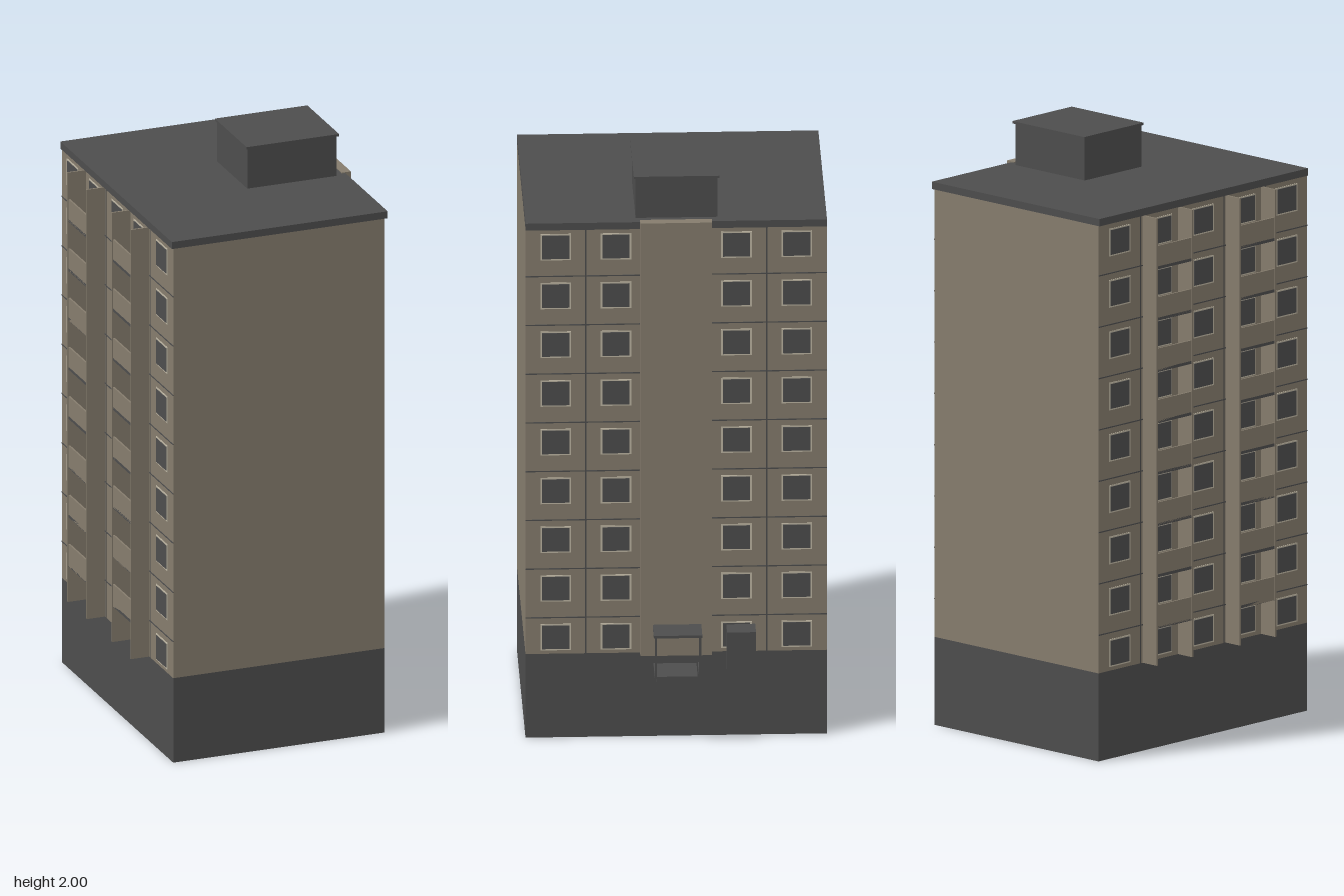
import * as THREE from 'three';

export function createModel() {
  const model = new THREE.Group();
  model.name = 'apartmentBlock';
  const paint = (name, color) => {
    const m = new THREE.MeshStandardMaterial({ color });
    m.name = name;
    return m;
  };
  const beige = paint('beige concrete', 0x857c6d);
  const dark = paint('dark grey', 0x4d4d4d);
  const pale = paint('pale window frame', 0xbdb5a2);

  // Box given by its extents on each axis
  function box(name, mat, [x0, x1], [y0, y1], [z0, z1], parent = model) {
    const mesh = new THREE.Mesh(new THREE.BoxGeometry(x1 - x0, y1 - y0, z1 - z0), mat);
    mesh.position.set((x0 + x1) / 2, (y0 + y1) / 2, (z0 + z1) / 2);
    mesh.name = name;
    parent.add(mesh);
    return mesh;
  }
  function group(name) {
    const g = new THREE.Group();
    g.name = name;
    model.add(g);
    return g;
  }

  const EAST = 0.343, WEST = -0.41, STOREY = 0.175, FLOORS = 9;

  // Main volumes
  box('plinth', dark, [WEST, EAST], [0, 0.3], [-0.5, 0.5]);
  box('tower', beige, [WEST, EAST], [0.3, 1.825], [-0.5, 0.5]);
  box('roofSlab', dark, [-0.415, 0.355], [1.825, 1.85], [-0.5, 0.5]);
  box('stairShaft', beige, [EAST, 0.375], [0.3, 1.853], [-0.118, 0.12]);
  box('roofHouse', dark, [0, 0.318], [1.85, 1.992], [-0.138, 0.134]);
  box('roofHouseCap', dark, [-0.005, 0.325], [1.992, 2], [-0.145, 0.14]);

  // Thin plate on a long facade; side is +1 (east) or -1 (west)
  function plate(name, mat, side, depth, y, z, parent) {
    const x = side > 0 ? [EAST, EAST + depth] : [WEST - depth, WEST];
    box(name, mat, x, y, z, parent);
  }

  // Windows in pale frames, one row per floor
  function windows(side, columns) {
    const g = group(side > 0 ? 'eastWindows' : 'westWindows');
    for (let i = 0; i < FLOORS; i++) {
      const y = 0.36 + i * STOREY;
      for (const z of columns) {
        plate('windowFrame', pale, side, 0.002, [y - 0.047, y + 0.047], [z - 0.051, z + 0.051], g);
        plate('windowPane', dark, side, 0.004, [y - 0.042, y + 0.042], [z - 0.045, z + 0.045], g);
      }
    }
  }
  windows(1, [-0.4, -0.2, 0.2, 0.4]);
  windows(-1, [-0.4, -0.2, 0, 0.2, 0.4]);

  // Panel joints
  function joints(side, spans, uprights) {
    const g = group(side > 0 ? 'eastJoints' : 'westJoints');
    for (const span of spans) {
      for (let i = 0; i < FLOORS - 1; i++) {
        const y = 0.43 + i * STOREY;
        plate('floorJoint', dark, side, 0.0015, [y - 0.002, y + 0.002], span, g);
      }
    }
    for (const z of uprights) {
      plate('uprightJoint', dark, side, 0.0015, [0.3, 1.825], [z - 0.002, z + 0.002], g);
    }
  }
  joints(1, [[-0.5, -0.118], [0.12, 0.5]], [-0.3, 0.3]);
  joints(-1, [[-0.5, 0.5]], [-0.3, -0.1, 0.1, 0.3]);

  // Balcony stacks between full-height fins
  for (const [z0, z1] of [[-0.289, -0.113], [0.109, 0.285]]) {
    const g = group('balconyStack');
    for (const z of [z0, z1 - 0.006]) {
      box('balconyFin', beige, [-0.475, WEST], [0.3, 1.825], [z, z + 0.006], g);
    }
    for (let i = 0; i < FLOORS - 1; i++) {
      const y = 0.43 + i * STOREY;
      box('balconyFloor', dark, [-0.472, WEST], [y - 0.005, y + 0.005], [z0 + 0.006, z1 - 0.006], g);
      box('balconyParapet', beige, [-0.472, -0.466], [y - 0.005, y + 0.075], [z0 + 0.006, z1 - 0.006], g);
    }
  }

  // Entrance porch
  const porch = group('porch');
  box('porchSlab', dark, [EAST, 0.46], [0.235, 0.26], [-0.067, 0.07], porch);
  box('porchCanopy', dark, [0.37, 0.473], [0.403, 0.412], [-0.082, 0.079], porch);
  for (const z of [-0.075, 0.072]) {
    box('porchPost', dark, [0.459, 0.466], [0.255, 0.403], [z - 0.0035, z + 0.0035], porch);
    box('porchRail', dark, [EAST, 0.466], [0.255, 0.262], [z - 0.0035, z + 0.0035], porch);
  }

  // Side hutch by the entrance
  box('entranceHutch', dark, [EAST, 0.418], [0.255, 0.398], [-0.262, -0.166]);

  return model;
}
